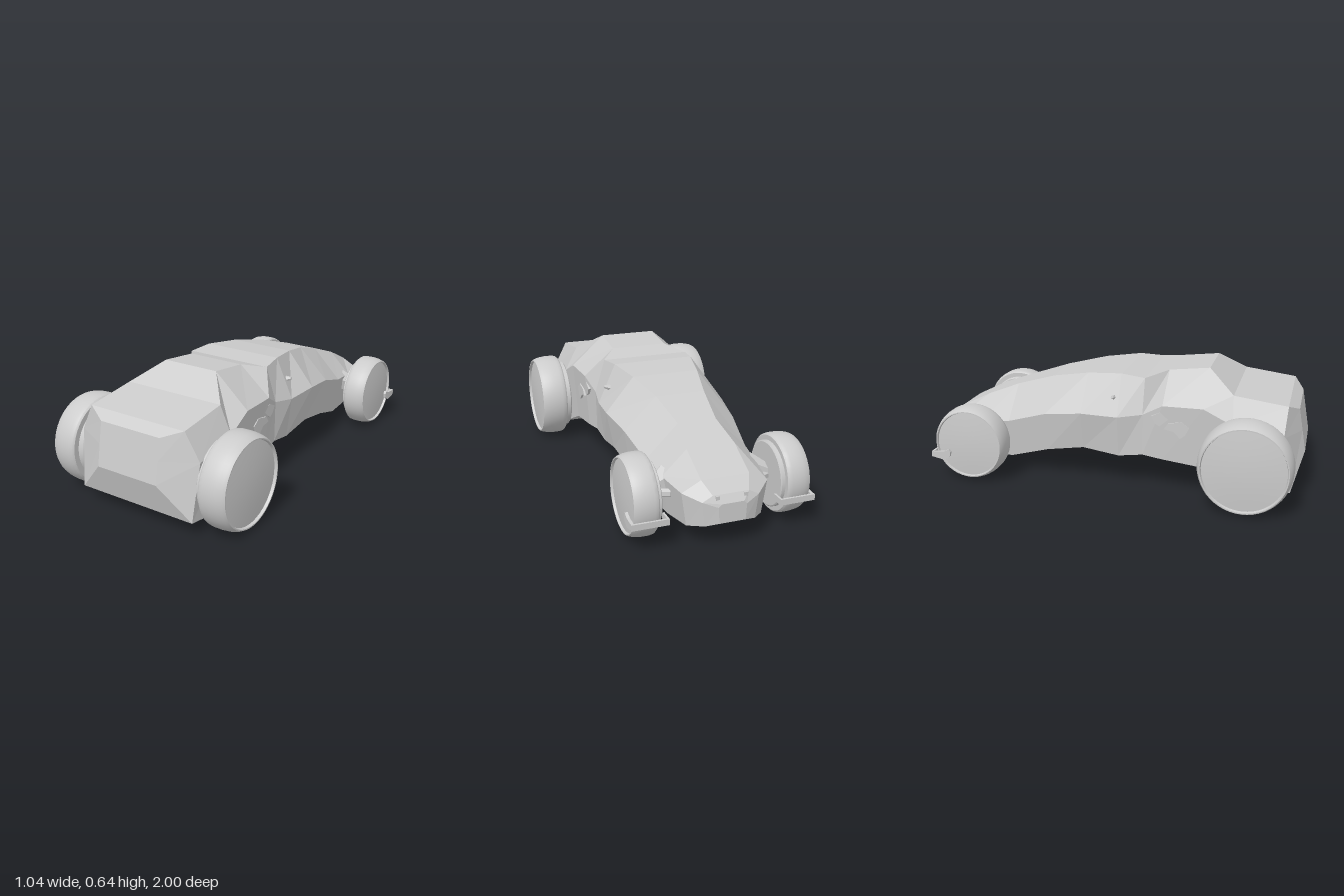
import * as THREE from 'three';
import { toCreasedNormals } from 'three/addons/utils/BufferGeometryUtils.js';

const flat = new THREE.MeshStandardMaterial({ color: 0xcccccc, flatShading: true, side: THREE.DoubleSide });
const smooth = new THREE.MeshStandardMaterial({ color: 0xcccccc, side: THREE.DoubleSide });

// Hull stations, front to back: roof edge, waist edge and floor edge, each [x, y, z]
const row = (z, tx, ty, mx, my, bx, by) => [[tx, ty, z], [mx, my, z], [bx, by, z]];
const STATIONS = [
  [[0.175, 0.47, 0.96], [0.175, 0.36, 0.98], [0.175, 0.25, 1]],
  [[0.28, 0.51, 0.91], [0.355, 0.37, 0.9], [0.335, 0.08, 0.945]],
  [[0.28, 0.545, 0.64], [0.347, 0.41, 0.65], [0.335, 0.05, 0.74]],
  row(0.5, 0.155, 0.645, 0.338, 0.48, 0.315, 0.16),
  row(0.29, 0.155, 0.62, 0.325, 0.475, 0.305, 0.18),
  row(0.18, 0.24, 0.59, 0.295, 0.41, 0.29, 0.19),
  row(0.05, 0.22, 0.6, 0.315, 0.39, 0.285, 0.17),
  row(-0.14, 0.18, 0.58, 0.33, 0.4, 0.29, 0.2),
  row(-0.35, 0.13, 0.535, 0.3, 0.37, 0.27, 0.16),
  row(-0.57, 0.1, 0.465, 0.265, 0.3, 0.235, 0.09),
  row(-0.74, 0.122, 0.4, 0.245, 0.28, 0.215, 0.085),
  row(-0.91, 0.12, 0.315, 0.215, 0.265, 0.19, 0.1),
  row(-0.975, 0.09, 0.262, 0.14, 0.235, 0.125, 0.115),
  row(-1, 0.055, 0.225, 0.07, 0.21, 0.065, 0.13),
];

function hullGeometry() {
  const rings = STATIONS.map((s) => [...s, ...s.slice().reverse().map(([x, y, z]) => [-x, y, z])]);
  const pos = [];
  const tri = (...pts) => pts.forEach((p) => pos.push(...p));
  for (let i = 0; i < rings.length - 1; i++) {
    for (let j = 0; j < 6; j++) {
      const k = (j + 1) % 6;
      const [a, b, c, d] = [rings[i][j], rings[i][k], rings[i + 1][j], rings[i + 1][k]];
      tri(a, b, c);
      tri(b, d, c);
    }
  }
  const first = rings[0], last = rings[rings.length - 1];
  for (let j = 1; j < 5; j++) {
    tri(first[0], first[j + 1], first[j]);
    tri(last[0], last[j], last[j + 1]);
  }
  const g = new THREE.BufferGeometry();
  g.setAttribute('position', new THREE.Float32BufferAttribute(pos, 3));
  g.computeVertexNormals();
  return g;
}

function add(group, name, geometry, material, x = 0, y = 0, z = 0) {
  const mesh = new THREE.Mesh(geometry, material);
  mesh.name = name;
  mesh.position.set(x, y, z);
  group.add(mesh);
  return mesh;
}

// Tyre, rim lip, domed disc and inner hub turned in one profile (r = radius, w = tyre width)
function wheelGeometry(r, w, hub) {
  const pts = [
    [0, -hub], [r * 0.8, -hub], [r * 0.83, -hub * 0.8], [r * 0.83, 0], [r * 0.95, 0],
    [r * 0.985, w * 0.06], [r, w * 0.2], [r, w * 0.5], [r * 0.985, w * 0.72],
    [r * 0.955, w * 0.9], [r * 0.92, w], [r * 0.895, w], [r * 0.88, w * 0.9],
    [r * 0.6, w * 0.945], [r * 0.3, w * 0.975], [0, w * 0.985],
  ].map(([a, b]) => new THREE.Vector2(a, b));
  return toCreasedNormals(new THREE.LatheGeometry(pts, 48), 0.6);
}

// Tapered strut between two points
function strut(group, name, from, to, r0, r1) {
  const a = new THREE.Vector3(...from), b = new THREE.Vector3(...to);
  const dir = b.clone().sub(a);
  const mesh = add(group, name, new THREE.CylinderGeometry(r1, r0, dir.length(), 6), flat);
  mesh.position.copy(a).add(b).multiplyScalar(0.5);
  mesh.quaternion.setFromUnitVectors(new THREE.Vector3(0, 1, 0), dir.normalize());
}

// Small fin outline in (z, y), given thickness along x
function finGeometry(points, depth) {
  const shape = new THREE.Shape(points.map(([z, y]) => new THREE.Vector2(-z, y)));
  const g = new THREE.ExtrudeGeometry(shape, { depth, bevelEnabled: false });
  return g.rotateY(Math.PI / 2);
}

export function createModel() {
  const model = new THREE.Group();
  add(model, 'hull', hullGeometry(), flat);

  const frontWheel = wheelGeometry(0.236, 0.142, 0.035);
  const rearWheel = wheelGeometry(0.198, 0.12, 0.022);
  const wheelFin = finGeometry([[-0.83, 0.165], [-0.84, 0.18], [-0.87, 0.165], [-0.935, 0.16], [-0.925, 0.13], [-0.87, 0.12], [-0.835, 0.14]], 0.015);
  const ventLarge = finGeometry([[0.43, 0.37], [0.39, 0.4], [0.32, 0.385], [0.3, 0.355], [0.35, 0.345], [0.385, 0.31], [0.41, 0.33]], 0.035);
  const ventSmall = finGeometry([[0.32, 0.405], [0.28, 0.44], [0.23, 0.415], [0.25, 0.38], [0.275, 0.365]], 0.035);

  for (const s of [1, -1]) {
    const side = s > 0 ? 'left' : 'right';
    const group = new THREE.Group();
    group.name = side + 'RunningGear';
    model.add(group);

    // Wheels
    add(group, 'frontWheel', frontWheel, smooth, s * 0.378, 0.24, 0.73).rotation.z = -s * Math.PI / 2;
    add(group, 'rearWheel', rearWheel, smooth, s * 0.32, 0.21, -0.735).rotation.z = -s * Math.PI / 2;

    // Axles and rear suspension arms
    strut(group, 'frontAxle', [s * 0.28, 0.24, 0.73], [s * 0.39, 0.24, 0.73], 0.06, 0.06);
    strut(group, 'rearArm', [s * 0.21, 0.25, -0.7], [s * 0.32, 0.22, -0.74], 0.07, 0.03);
    strut(group, 'rearBrace', [s * 0.22, 0.22, -0.8], [s * 0.31, 0.21, -0.74], 0.02, 0.02);

    // Bracket wrapping the back of the rear wheel
    add(group, 'wheelBracket', new THREE.BoxGeometry(0.18, 0.03, 0.012), flat, s * 0.37, 0.147, -0.932);
    add(group, 'bracketOuterFin', wheelFin, flat, s > 0 ? 0.445 : -0.46);
    add(group, 'bracketInnerTab', new THREE.BoxGeometry(0.01, 0.03, 0.07), flat, s * 0.284, 0.147, -0.9);

    // Side vents, cabin stubs and tail nubs
    add(group, 'largeVent', ventLarge, flat, s > 0 ? 0.295 : -0.33);
    add(group, 'smallVent', ventSmall, flat, s > 0 ? 0.287 : -0.322);
    strut(group, 'cabinStub', [s * 0.25, 0.48, 0.02], [s * 0.292, 0.49, 0.02], 0.02, 0.008);
    add(group, 'tailNub', new THREE.BoxGeometry(0.018, 0.02, 0.02), flat, s * 0.07, 0.25, -0.978);
  }
  return model;
}
